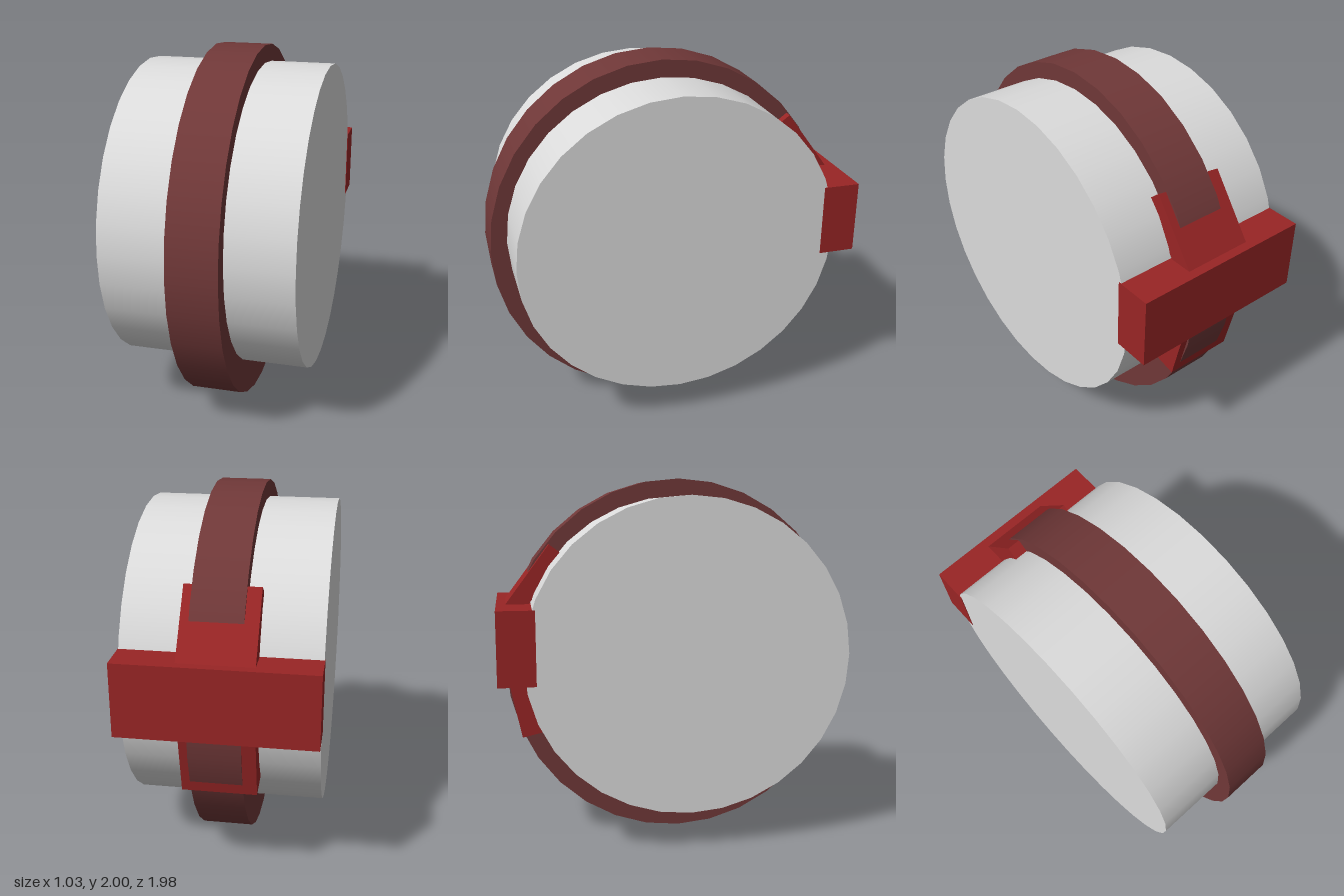
import * as THREE from 'three';

const whiteMat = new THREE.MeshStandardMaterial({ color: 0xdcdcdc });
whiteMat.name = 'drum white';
const brownMat = new THREE.MeshStandardMaterial({ color: 0x703838 });
brownMat.name = 'strap brown';
const redMat = new THREE.MeshStandardMaterial({ color: 0x992525 });
redMat.name = 'clasp red';

export function createModel() {
  const group = new THREE.Group();

  function add(name, geometry, material, x, y, z) {
    const mesh = new THREE.Mesh(geometry, material);
    mesh.name = name;
    mesh.position.set(x, y, z);
    group.add(mesh);
    return mesh;
  }

  // Slightly elliptical disc lying along the x axis
  function disc(width, ry, rz) {
    return new THREE.CylinderGeometry(1, 1, width, 32)
      .rotateZ(Math.PI / 2)
      .scale(1, ry, rz);
  }

  // Box whose outer face runs from lower point (y0, z0) to upper point (y1, z1)
  function clasp(name, y0, z0, y1, z1, depth) {
    const length = Math.hypot(y1 - y0, z1 - z0);
    const geometry = new THREE.BoxGeometry(0.39, length, depth).translate(0, 0, depth / 2);
    const mesh = add(name, geometry, redMat, 0, (y0 + y1) / 2, (z0 + z1) / 2);
    mesh.rotation.x = Math.atan2(z1 - z0, y1 - y0);
  }

  // Drum and the thick strap around its middle
  add('drum', disc(1.02, 0.85, 0.876), whiteMat, 0, 1.055, 0.022);
  add('strap', disc(0.272, 0.9985, 0.967), brownMat, 0.014, 1.0015, 0.023);

  // Crossbar on the back, with a clasp holding the strap above and below
  add('crossbar', new THREE.BoxGeometry(1.026, 0.395, 0.2), redMat, 0, 1.1275, -0.89);
  clasp('upperClasp', 1.298, -0.96, 1.645, -0.7, 0.1);
  clasp('lowerClasp', 0.585, -0.865, 0.955, -0.944, 0.145);

  return group;
}
